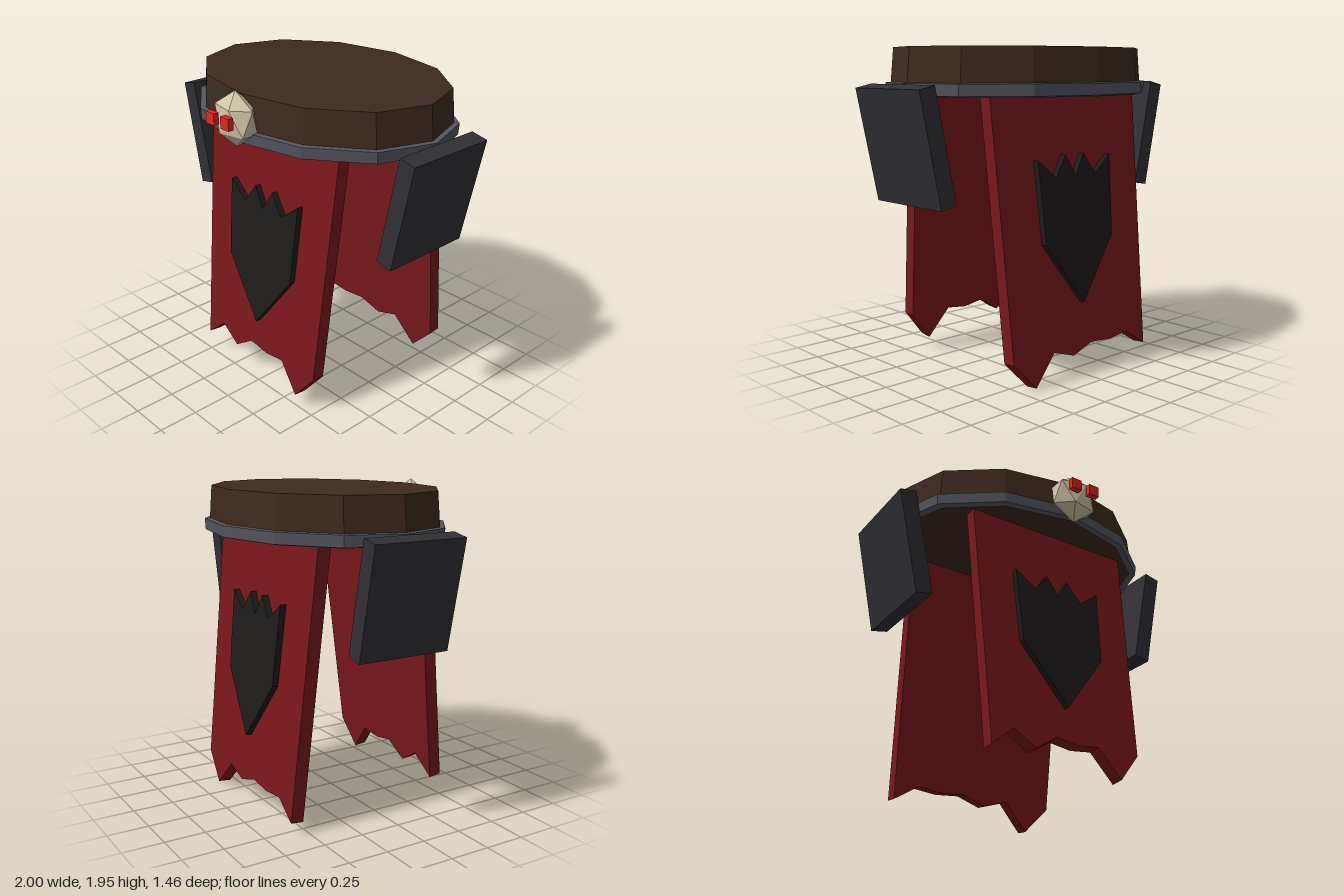
import * as THREE from 'three';
import { ConvexGeometry } from 'three/addons/geometries/ConvexGeometry.js';

const mat = (color) => new THREE.MeshStandardMaterial({ color, flatShading: true });
const brown = mat(0x3d2a20), steel = mat(0x54555e), iron = mat(0x303035);
const red = mat(0x7a181c), black = mat(0x1e1b1b), bone = mat(0xcdc3a5), eyeRed = mat(0xe02a20);

const SEAT_Z = -0.06;   // centre of the oval
const HANG_Y = 1.65;    // height the cloths hang from
const LEAN = 0.104;     // outward lean of the cloths

function part(parent, name, geometry, material) {
  const mesh = new THREE.Mesh(geometry, material);
  mesh.name = name;
  parent.add(mesh);
  return mesh;
}

// Flat outline given in upright heights, laid in the leaning plane of a cloth
function leaningSlab(points, depth) {
  const shape = new THREE.Shape(points.map(([x, y]) =>
    new THREE.Vector2(x, (y - HANG_Y) / Math.cos(LEAN))));
  return new THREE.ExtrudeGeometry(shape, { depth, bevelEnabled: false });
}

// Cloth with a ragged hem (heights run from -x to +x) and a raised shield
function clothPanel(name, halfTop, halfBottom, hem, outerZ) {
  const pivot = new THREE.Group();
  pivot.name = name;
  const panel = new THREE.Group();
  panel.position.set(0, HANG_Y, outerZ);
  panel.rotation.x = -LEAN;
  pivot.add(panel);

  const outline = hem.map((y, i) => [halfBottom * (2 * i / (hem.length - 1) - 1), y]);
  outline.push([halfTop, 1.69], [-halfTop, 1.69]);
  part(panel, name + 'Fabric', leaningSlab(outline, 0.08), red).position.z = -0.08;

  const half = [[0, 0.44], [0.28, 0.81], [0.3, 1.29], [0.165, 1.185], [0.075, 1.31]];
  const mirrored = half.slice(1).reverse().map(([x, y]) => [-x, y]);
  part(panel, name + 'Shield', leaningSlab([...half, [0, 1.185], ...mirrored], 0.038), black);
  return pivot;
}

export function createModel() {
  const model = new THREE.Group();
  model.name = 'armouredBelt';

  // Oval waist block
  const waist = part(model, 'waist', new THREE.CylinderGeometry(0.84, 0.865, 0.265, 12), brown);
  waist.scale.z = 0.74;
  waist.position.set(0, 1.795, SEAT_Z);

  // Metal rim round the lower edge
  const rimProfile = [[0.84, 1.65], [0.885, 1.658], [0.89, 1.725], [0.84, 1.73], [0.84, 1.65]]
    .map(([r, y]) => new THREE.Vector2(r, y));
  const rim = part(model, 'rim', new THREE.LatheGeometry(rimProfile, 12), steel);
  rim.scale.z = 0.75;
  rim.position.z = SEAT_Z;

  // Front and back cloths
  model.add(clothPanel('frontCloth', 0.557, 0.503,
    [0.136, 0.253, 0.165, 0.258, 0.235, 0.253, 0.08, 0.252], 0.342));
  const back = clothPanel('backCloth', 0.595, 0.557,
    [0.08, 0.18, 0.165, 0.18, 0.13, 0.18, 0.01, 0.175].reverse(), 0.444);
  back.rotation.y = Math.PI;
  model.add(back);

  // Tilted hip plates
  for (const side of [-1, 1]) {
    const plate = part(model, side > 0 ? 'leftHipPlate' : 'rightHipPlate',
      new THREE.BoxGeometry(0.107, 0.668, 0.593), iron);
    plate.position.set(side * 0.877, 1.382, -0.056);
    plate.rotation.z = -side * 0.209;
  }

  // Faceted bone buckle: two apexes and two staggered rings of five
  const points = [new THREE.Vector3(0, 0.163, 0), new THREE.Vector3(0, -0.163, 0)];
  for (let i = 0; i < 10; i++) {
    const a = i * Math.PI / 5;
    points.push(new THREE.Vector3(0.147 * Math.cos(a), i % 2 ? -0.075 : 0.075, 0.09 * Math.sin(a)));
  }
  const buckle = part(model, 'buckle', new ConvexGeometry(points), bone);
  buckle.position.set(0, 1.79, 0.598);

  // Buckle eyes
  for (const side of [-1, 1]) {
    const eye = part(model, side > 0 ? 'leftEye' : 'rightEye',
      new THREE.BoxGeometry(0.07, 0.07, 0.035), eyeRed);
    eye.position.set(side * 0.064, 1.807, 0.712);
  }

  return model;
}
